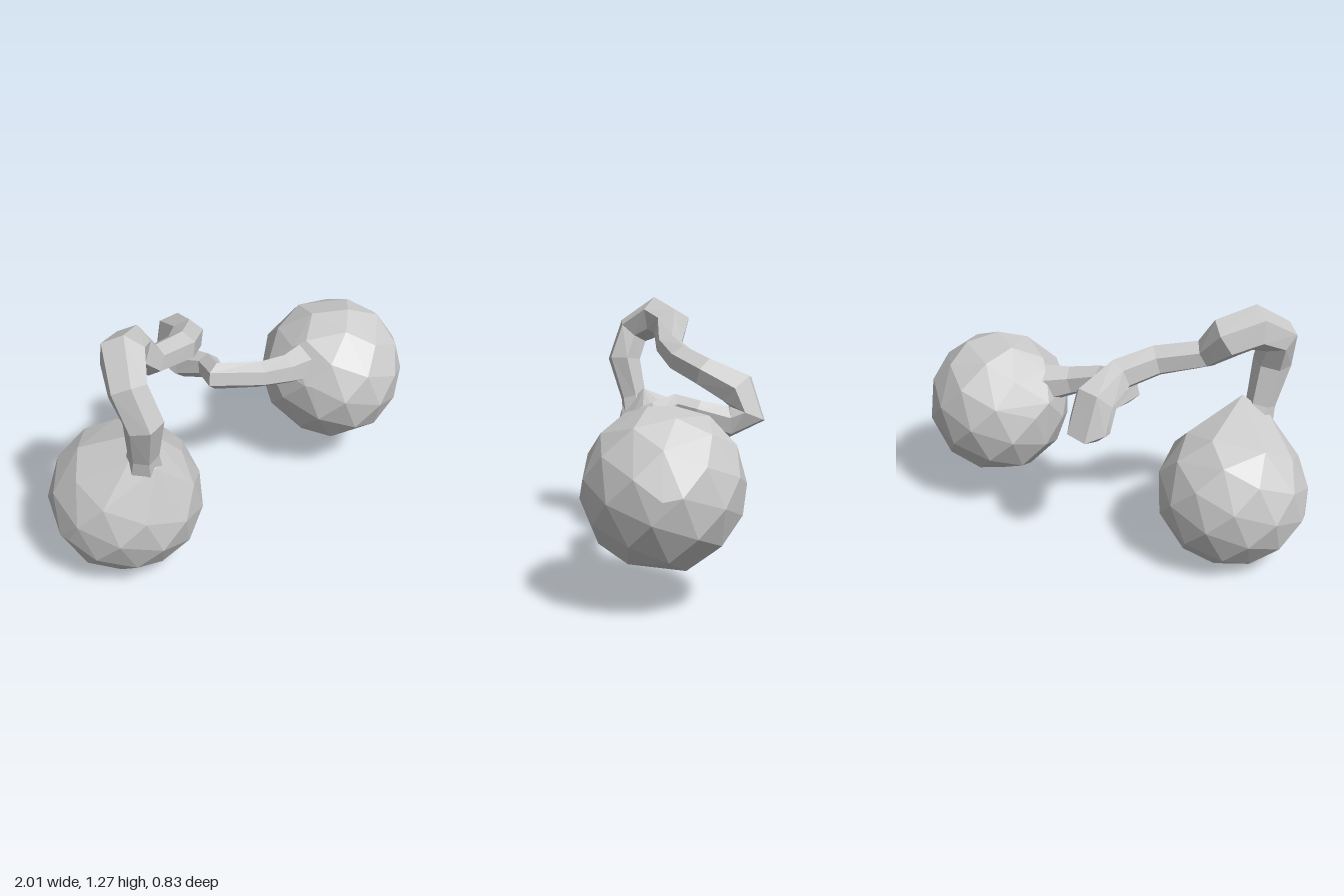
import * as THREE from 'three';
import { ConvexGeometry } from 'three/addons/geometries/ConvexGeometry.js';

const V = (p) => new THREE.Vector3(...p);

function makeMaterial() {
  return new THREE.MeshStandardMaterial({ color: 0xcccccc, flatShading: true });
}

// Faceted ball: evenly spread points plus a few pulled out towards the stem
function makeBall(name, center, radius, turn, neck) {
  const points = neck.map(V);
  const count = 52;
  for (let i = 0; i < count; i++) {
    const y = 1 - (2 * (i + 0.5)) / count;
    const s = Math.sqrt(1 - y * y);
    const a = i * 2.39996 + turn;
    const r = radius * (1 + 0.012 * Math.sin(i * 5.3));
    points.push(new THREE.Vector3(Math.cos(a) * s, y, Math.sin(a) * s).multiplyScalar(r).add(V(center)));
  }
  const mesh = new THREE.Mesh(new ConvexGeometry(points), makeMaterial());
  mesh.name = name;
  return mesh;
}

// Crooked stem: rings of [x, y, z, radius], carried along without twisting
function makeStem(name, rings, sides) {
  const centers = rings.map((r) => V(r));
  const turn = new THREE.Quaternion();
  const last = new THREE.Vector3(0, 0, 1);
  const positions = [];
  const index = [];
  rings.forEach((ring, i) => {
    const before = centers[Math.max(i - 1, 0)];
    const here = centers[i];
    const after = centers[Math.min(i + 1, rings.length - 1)];
    const tangent = here.clone().sub(before).normalize().add(after.clone().sub(here).normalize()).normalize();
    turn.premultiply(new THREE.Quaternion().setFromUnitVectors(last, tangent));
    last.copy(tangent);
    for (let j = 0; j < sides; j++) {
      const a = (j / sides) * Math.PI * 2 + 0.4;
      const p = new THREE.Vector3(Math.cos(a), Math.sin(a), 0).multiplyScalar(ring[3]).applyQuaternion(turn).add(here);
      positions.push(p.x, p.y, p.z);
      if (i < rings.length - 1) {
        const k = i * sides + j;
        const n = i * sides + ((j + 1) % sides);
        index.push(k, n, k + sides, n, n + sides, k + sides);
      }
    }
  });
  const geometry = new THREE.BufferGeometry();
  geometry.setAttribute('position', new THREE.Float32BufferAttribute(positions, 3));
  geometry.setIndex(index);
  geometry.computeVertexNormals();
  const material = makeMaterial();
  material.side = THREE.DoubleSide;
  const mesh = new THREE.Mesh(geometry, material);
  mesh.name = name;
  return mesh;
}

export function createModel() {
  const group = new THREE.Group();
  group.name = 'twinBalls';

  // Lower ball, with a neck rising at the front of its top
  group.add(makeBall('rightBall', [-0.65, 0.36, 0.055], 0.358, 0.3, [
    [-0.62, 0.79, 0.21], [-0.75, 0.7, 0.24], [-0.67, 0.68, 0.33], [-0.65, 0.0, 0.03], [-1.0, 0.3, 0.1],
  ]));

  // Upper ball, with a neck reaching inwards
  group.add(makeBall('leftBall', [0.64, 0.53, 0.068], 0.362, 1.1, [
    [0.29, 0.64, -0.03], [0.36, 0.76, 0.07], [0.34, 0.62, 0.24], [1.0, 0.55, 0.06],
  ]));

  // Stem: up from the lower ball, over, back into a hook, then out to the upper ball
  group.add(makeStem('stem', [
    [-0.67, 0.62, 0.24, 0.09],
    [-0.69, 0.74, 0.27, 0.07],
    [-0.715, 0.94, 0.32, 0.09],
    [-0.75, 1.09, 0.27, 0.09],
    [-0.68, 1.17, 0.14, 0.105],
    [-0.58, 1.13, 0.06, 0.1],
    [-0.48, 1.03, 0.07, 0.07],
    [-0.27, 0.98, 0.0, 0.075],
    [-0.14, 0.93, -0.12, 0.08],
    [-0.09, 0.86, -0.27, 0.1],
    [-0.08, 0.74, -0.32, 0.1],
    [-0.07, 0.7, -0.23, 0.08],
    [-0.05, 0.75, -0.08, 0.06],
    [-0.1, 0.77, 0.04, 0.065],
    [0.08, 0.755, 0.14, 0.065],
    [0.24, 0.71, 0.13, 0.075],
    [0.42, 0.67, 0.09, 0.11],
  ], 6));

  return group;
}
